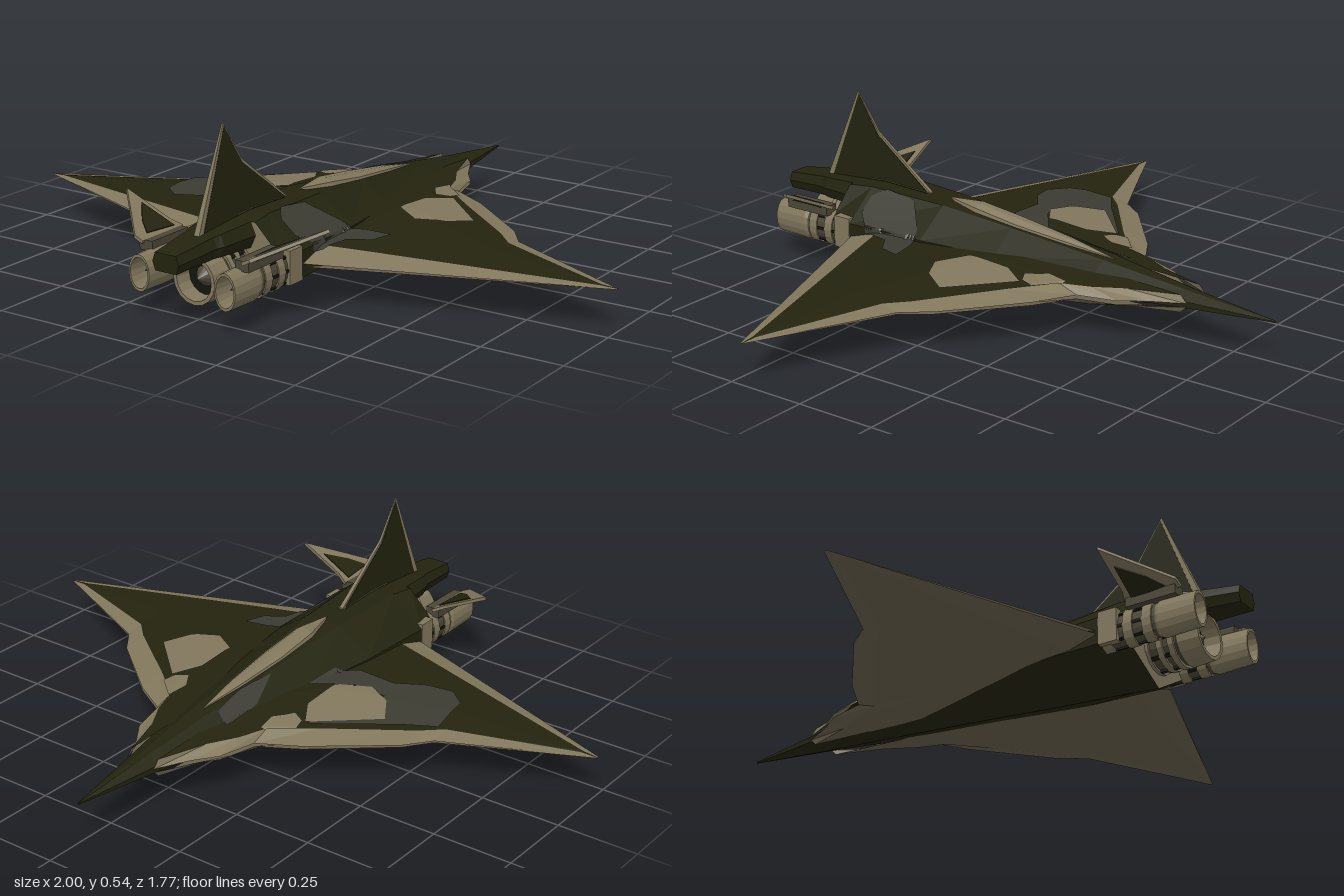
import * as THREE from 'three';

const mat = (name, color, side = THREE.FrontSide) => Object.assign(new THREE.MeshStandardMaterial({ color, side, flatShading: true }), { name });
const dark = mat('dark olive', 0x23230f, THREE.DoubleSide);
const tan = mat('tan', 0x81775c, THREE.DoubleSide);
const grey = mat('camouflage grey', 0x3b3b32, THREE.DoubleSide);
const belly = mat('belly brown', 0x6c6350, THREE.DoubleSide);
const metal = mat('engine metal', 0x4b4636);
const black = mat('engine black', 0x15150e);

// Piecewise-linear lookup in rows sorted by their first column
function row(table, k) {
  let i = 0;
  while (i < table.length - 2 && k > table[i + 1][0]) i++;
  const a = table[i], b = table[i + 1];
  const u = THREE.MathUtils.clamp((k - a[0]) / (b[0] - a[0]), 0, 1);
  return a.map((v, j) => v + (b[j] - v) * u);
}

// Mesh from triangles; facing = 1 or -1 turns every triangle up or down
function triMesh(name, tris, material, facing = 0) {
  const n = new THREE.Vector3();
  const pos = [];
  for (const [a, b, c] of tris) {
    new THREE.Triangle(new THREE.Vector3(...a), new THREE.Vector3(...b), new THREE.Vector3(...c)).getNormal(n);
    pos.push(...a, ...(n.y * facing < 0 ? [...c, ...b] : [...b, ...c]));
  }
  const g = new THREE.BufferGeometry();
  g.setAttribute('position', new THREE.Float32BufferAttribute(pos, 3));
  g.computeVertexNormals();
  const m = new THREE.Mesh(g, material);
  m.name = name;
  return m;
}

// Closed skin through clockwise rings that advance along +z
function loft(name, rings, material, capMaterial) {
  const skin = [], cap = [];
  for (let i = 0; i < rings.length - 1; i++) rings[i].forEach((a, j) => {
    const k = (j + 1) % rings[i].length;
    const b = rings[i][k], c = rings[i + 1][k], d = rings[i + 1][j];
    skin.push([a, c, b], [a, d, c]);
  });
  const end = rings[rings.length - 1];
  for (let j = 1; j < end.length - 1; j++) cap.push([end[0], end[j + 1], end[j]]);
  const group = new THREE.Group();
  group.name = name;
  group.add(triMesh(name + 'Skin', skin, material), triMesh(name + 'Rear', cap, capMaterial));
  return group;
}

// Hull: z, half width, low side, high side, roof half width, roof, keel
const HULL = [
  [-0.88, 0.002, 0.12, 0.124, 0.001, 0.125, 0.119],
  [-0.6, 0.05, 0.115, 0.135, 0.012, 0.155, 0.095],
  [-0.32, 0.10, 0.105, 0.15, 0.03, 0.19, 0.075],
  [0, 0.14, 0.10, 0.165, 0.045, 0.225, 0.05],
  [0.25, 0.175, 0.095, 0.17, 0.06, 0.25, 0.028],
  [0.52, 0.185, 0.09, 0.17, 0.075, 0.26, 0.008],
  [0.6, 0.16, 0.09, 0.18, 0.085, 0.255, 0],
];
const hullRing = ([z, w, lo, hi, t, top, bot]) =>
  [[t, top, z], [w, hi, z], [w, lo, z], [0, bot, z], [-w, lo, z], [-w, hi, z], [-t, top, z]];

// Wing: x, leading edge, inner leading edge
const WING = [
  [0.05, -0.62, -0.6], [0.10, -0.52, -0.45], [0.15, -0.45, -0.36], [0.18, -0.33, -0.27],
  [0.30, -0.26, -0.17], [0.52, -0.08, 0.0], [0.58, 0.0, 0.06], [0.95, 0.177, 0.2], [1.0, 0.2, 0.204],
];
function wingChord(x) {
  const [, le, inner] = row(WING, x);
  const te = x < 0.17 ? 0.52 : 0.52 - 0.373 * (x - 0.17);
  const innerTe = Math.min(te - 0.001, 0.42 - 0.27 * (Math.max(x, 0.17) - 0.17));
  const t = 0.047 * Math.min(1, (1.0 - x) / 0.8) + 0.001;
  return [[le, 0.12], [inner, 0.6], [inner + (innerTe - inner) * 0.4, 1], [Math.max(innerTe, inner + 0.001), 0.7], [te, 0.1]]
    .map(([z, f]) => [z, f * t]);
}
const Y = 0.125;

// Height of the upper skin, used to lay painted panels on it
function upper(x, z) {
  const ax = Math.abs(x);
  const [, w, , hi, t, top] = row(HULL, z);
  const hull = ax < t ? top : ax < w ? top + (hi - top) * (ax - t) / (w - t) : 0;
  return Math.max(hull, Y + row(wingChord(ax), z)[1]);
}

// Thin painted panel draped over the upper skin
function panel(name, points, material, lift = 0.004) {
  const p = points.map(([x, z]) => new THREE.Vector2(x, z));
  let tris = THREE.ShapeUtils.triangulateShape(p, []).map(f => f.map(i => [p[i].x, p[i].y]));
  const mid = (a, b) => [(a[0] + b[0]) / 2, (a[1] + b[1]) / 2];
  for (let k = 0; k < 4; k++) tris = tris.flatMap(([a, b, c]) => {
    const d = mid(a, b), e = mid(b, c), f = mid(c, a);
    return [[a, d, f], [d, b, e], [f, e, c], [d, e, f]];
  });
  return triMesh(name, tris.map(t => t.map(([x, z]) => [x, upper(x, z) + lift, z])), material, 1);
}

function wing(side) {
  const g = new THREE.Group();
  g.name = side > 0 ? 'leftWing' : 'rightWing';
  const names = ['LeadingTrim', 'FrontSkin', 'RearSkin', 'TrailingTrim'];
  for (const dir of [1, -1]) names.forEach((name, j) => {
    const tris = [];
    const at = (i, k) => {
      const [z, h] = wingChord(WING[i][0])[k];
      return [side * WING[i][0], Y + dir * h * (dir > 0 ? 1 : 0.85), z];
    };
    for (let i = 0; i < WING.length - 1; i++) {
      const a = at(i, j), b = at(i + 1, j), c = at(i + 1, j + 1), d = at(i, j + 1);
      tris.push([a, b, c], [a, c, d]);
    }
    const material = dir < 0 ? belly : j === 0 || j === 3 ? tan : dark;
    g.add(triMesh((dir > 0 ? 'upper' : 'lower') + name, tris, material, dir));
  });
  return g;
}

// Flat fin from an outline, with depth centred on zero
function plate(name, points, depth, material) {
  const g = new THREE.ExtrudeGeometry(new THREE.Shape(points.map(p => new THREE.Vector2(...p))), { depth, bevelEnabled: false });
  g.translate(0, 0, -depth / 2);
  const m = new THREE.Mesh(g, material);
  m.name = name;
  return m;
}

// Body of revolution about z: profile rows are radius, z
function turned(name, profile, sides, material) {
  const g = new THREE.LatheGeometry(profile.map(p => new THREE.Vector2(...p)), sides);
  g.rotateX(Math.PI / 2);
  const m = new THREE.Mesh(g, material);
  m.name = name;
  return m;
}

function engine(name, r, z0, z1) {
  const g = new THREE.Group();
  g.name = name;
  const L = z1 - z0, at = u => z0 + L * u;
  g.add(
    turned('casing', [[r * 0.9, z0], [r * 0.9, at(0.6)]], 16, metal),
    turned('nozzle', [[r * 0.8, at(0.55)], [r, at(0.62)], [r * 0.95, z1], [r * 0.8, z1], [r * 0.7, at(0.6)]], 16, tan),
    turned('exhaust', [[r * 0.78, at(0.72)], [0.0001, at(0.72)]], 16, black),
    turned('exhaustCone', [[r * 0.4, at(0.72)], [0.0001, at(0.92)]], 12, metal));
  for (const u of [0.06, 0.3, 0.5])
    g.add(turned('casingRing', [[r * 0.85, at(u - 0.05)], [r, at(u - 0.05)], [r, at(u + 0.05)], [r * 0.85, at(u + 0.05)]], 16, tan));
  for (let i = 0; i < 8; i++) {
    const a = i * Math.PI / 4;
    const rib = new THREE.Mesh(new THREE.BoxGeometry(r * 0.15, r * 0.12, L * 0.5), black);
    rib.position.set(r * 0.92 * Math.sin(a), r * 0.92 * Math.cos(a), at(0.3));
    rib.rotation.z = -a;
    rib.name = 'casingRib';
    g.add(rib);
  }
  return g;
}

export function createModel() {
  const model = new THREE.Group();
  model.name = 'deltaWingJet';
  model.add(loft('hull', HULL.map(hullRing), dark, tan), wing(1), wing(-1));

  // Tail boom above the engines
  const boom = [[0.5, 0.088, 0.17, 0.255], [0.6, 0.086, 0.18, 0.255], [0.72, 0.07, 0.182, 0.246], [0.74, 0.06, 0.182, 0.243], [0.89, 0.045, 0.175, 0.227]];
  model.add(loft('tailBoom', boom.map(([z, w, lo, hi]) =>
    [[w * 0.8, hi, z], [w, (lo + hi) / 2, z], [w * 0.8, lo, z], [-w * 0.8, lo, z], [-w, (lo + hi) / 2, z], [-w * 0.8, hi, z]]), dark, dark));

  // Spindle canopy
  const canopy = [[-0.34, 0.001, 0.19], [-0.18, 0.026, 0.22], [0, 0.042, 0.245], [0.15, 0.038, 0.264], [0.27, 0.001, 0.258]];
  model.add(loft('canopy', canopy.map(([z, w, top]) =>
    [[w * 0.3, top, z], [w * 0.75, top - w * 0.3, z], [w, top - w * 1.2, z], [-w, top - w * 1.2, z], [-w * 0.75, top - w * 0.3, z], [-w * 0.3, top, z]]), tan, tan));

  // Vertical fin with tan edges, thinner toward the tip
  const fins = [
    plate('verticalFin', [[0.35, 0.25], [0.36, 0.262], [0.55, 0.405], [0.627, 0.525], [0.735, 0.24]], 0.02, dark),
    plate('finTrailingEdge', [[0.627, 0.525], [0.63, 0.535], [0.755, 0.24], [0.735, 0.24]], 0.018, tan),
    plate('finLeadingEdge', [[0.34, 0.255], [0.55, 0.415], [0.63, 0.535], [0.627, 0.52], [0.55, 0.403], [0.35, 0.25]], 0.014, tan),
  ];
  for (const f of fins) {
    const p = f.geometry.attributes.position;
    for (let i = 0; i < p.count; i++) p.setZ(i, p.getZ(i) * (1 - 0.75 * (p.getY(i) - 0.25) / 0.285));
    f.geometry.rotateY(-Math.PI / 2);
    f.geometry.computeVertexNormals();
    model.add(f);
  }

  // Engines
  const main = engine('centreEngine', 0.075, 0.59, 0.77);
  main.position.y = 0.118;
  model.add(main);
  for (const s of [1, -1]) {
    const e = engine(s > 0 ? 'leftEngine' : 'rightEngine', 0.038, 0.52, 0.825);
    e.position.set(s * 0.147, 0.128, 0);
    e.scale.y = 1.5;
    model.add(e);
    const housing = new THREE.Mesh(new THREE.BoxGeometry(0.075, 0.1, 0.06), tan);
    housing.position.set(s * 0.15, 0.135, 0.55);
    housing.name = 'engineHousing';
    const pylon = new THREE.Mesh(new THREE.BoxGeometry(0.045, 0.03, 0.16), metal);
    pylon.position.set(s * 0.165, 0.19, 0.69);
    pylon.name = 'finPylon';
    model.add(housing, pylon);

    // Canted tail fin with a dark inset
    const fin = new THREE.Group();
    fin.name = s > 0 ? 'leftTailFin' : 'rightTailFin';
    const out = pts => pts.map(([x, z]) => [s * x, z]);
    fin.add(plate('finPlate', out([[0, 0.6], [0.04, 0.615], [0.2, 0.625], [0.09, 0.725], [0.03, 0.78], [0, 0.78]]), 0.01, tan),
      plate('finInset', out([[0.01, 0.63], [0.13, 0.64], [0.07, 0.705], [0.02, 0.74]]), 0.016, dark));
    fin.children.forEach(c => c.geometry.rotateX(Math.PI / 2));
    fin.rotation.z = s * 0.44;
    fin.position.set(s * 0.17, 0.2, 0);
    model.add(fin);

    // Tan wing panels
    model.add(panel('wingPanel', out([[0.25, -0.18], [0.42, -0.02], [0.37, 0.06], [0.29, 0.1], [0.2, 0.04], [0.2, -0.1]]), tan, 0.006),
      panel('wingRootPanel', out([[0.17, -0.29], [0.25, -0.22], [0.24, -0.18], [0.2, -0.16], [0.16, -0.22]]), tan, 0.006));
  }

  // Camouflage patches
  model.add(
    panel('rightWingPatch', [[-0.56, 0.05], [-0.47, -0.01], [-0.36, -0.1], [-0.26, -0.18], [-0.24, -0.05], [-0.35, 0.08], [-0.25, 0.08], [-0.13, -0.01], [-0.14, 0.12], [-0.2, 0.17], [-0.32, 0.17], [-0.4, 0.23], [-0.48, 0.25], [-0.54, 0.2]], grey),
    panel('rightNosePatch', [[-0.09, -0.34], [-0.04, -0.32], [-0.03, -0.2], [-0.05, -0.08], [-0.09, -0.2]], grey),
    panel('leftRearPatch', [[0.07, 0.46], [0.075, 0.35], [0.15, 0.28], [0.22, 0.25], [0.3, 0.24], [0.28, 0.31], [0.22, 0.35], [0.2, 0.44], [0.15, 0.5], [0.1, 0.5]], grey),
    panel('spineStripe', [[-0.012, 0.34], [0.012, 0.34], [0.014, 0.58], [-0.014, 0.58]], tan));
  return model;
}
